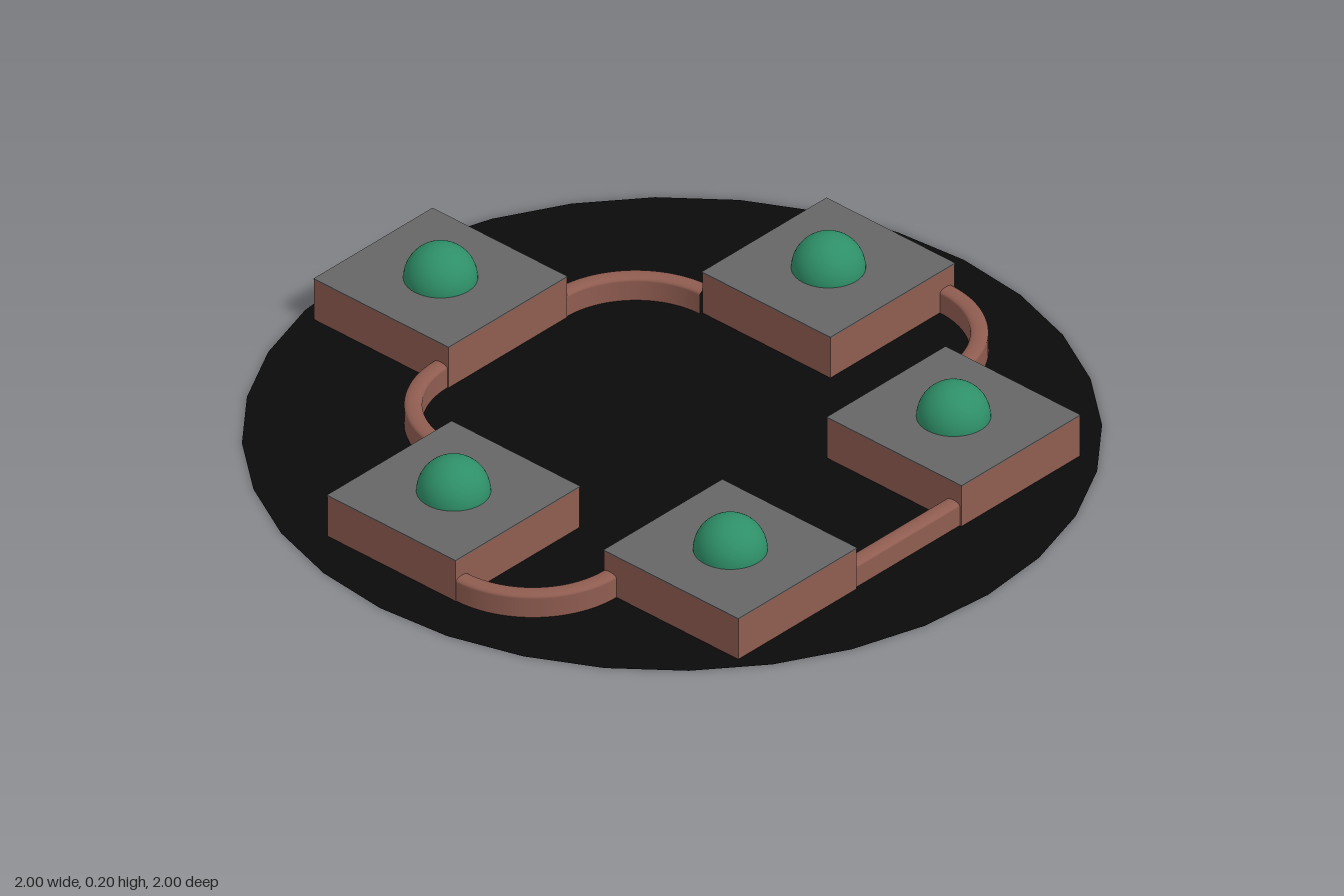
import * as THREE from 'three';

const paint = (color) => new THREE.MeshStandardMaterial({ color });

export function createModel() {
  const model = new THREE.Group();
  const brick = paint(0x8f5c50);
  const slate = paint(0x666666);
  const green = paint(0x2e8f68);
  const black = paint(0x0a0a0a);
  black.side = THREE.DoubleSide;

  const add = (parent, name, geometry, material, x, y, z) => {
    const mesh = new THREE.Mesh(geometry, material);
    mesh.name = name;
    mesh.position.set(x, y, z);
    parent.add(mesh);
    return mesh;
  };

  // Thin round ground sheet
  add(model, 'groundDisc', new THREE.CircleGeometry(1, 32).rotateX(-Math.PI / 2), black, 0, 0, 0);

  // Five square plinths, each with a slate top and a green dome: [x, z, width, depth]
  const base = 0.001, top = 0.115, slab = 0.003;
  const dome = new THREE.SphereGeometry(0.087, 40, 20, 0, Math.PI * 2, 0, Math.PI / 2);
  const plinths = [
    [-0.725, 0.008, 0.425, 0.405],
    [-0.092, -0.635, 0.405, 0.425],
    [0.547, -0.372, 0.425, 0.405],
    [0.547, 0.392, 0.425, 0.405],
    [-0.092, 0.648, 0.405, 0.425],
  ];
  for (const [x, z, w, d] of plinths) {
    const station = new THREE.Group();
    station.name = 'station';
    station.position.set(x, 0, z);
    model.add(station);
    const h = top - slab - base;
    add(station, 'plinth', new THREE.BoxGeometry(w, h, d), brick, 0, base + h / 2, 0);
    add(station, 'slateTop', new THREE.BoxGeometry(w + 0.002, slab, d + 0.002), slate, 0, top - slab / 2, 0);
    add(station, 'dome', dome, green, 0, top, 0);
  }

  // Low wall section: upright sides with a softly rounded top, outer side first
  const half = 0.021, shoulder = 0.054, crown = 0.009;
  const section = [new THREE.Vector2(half, base), new THREE.Vector2(half, shoulder - 0.002)];
  for (let i = 0; i <= 10; i++) {
    const a = (i / 10) * Math.PI;
    section.push(new THREE.Vector2(Math.cos(a) * half, shoulder + Math.sin(a) * crown));
  }
  section.push(new THREE.Vector2(-half, shoulder - 0.002), new THREE.Vector2(-half, base));

  // Quarter-circle walls linking the plinths: [centre x, centre z, radius, start quarter]
  const arcs = [
    [0.11, -0.575, 0.243, 1],
    [-0.295, -0.195, 0.241, 2],
    [-0.295, 0.212, 0.241, 3],
    [0.11, 0.595, 0.243, 0],
  ];
  for (const [x, z, r, quarter] of arcs) {
    const profile = section.map((p) => new THREE.Vector2(p.x + r, p.y));
    const geometry = new THREE.LatheGeometry(profile, 24, quarter * Math.PI / 2, Math.PI / 2);
    add(model, 'curvedWall', geometry, brick, x, 0, z);
  }

  // Straight wall between the two plinths on the left side
  const straight = new THREE.ExtrudeGeometry(new THREE.Shape(section), { depth: 0.37, bevelEnabled: false });
  add(model, 'straightWall', straight, brick, 0.733, 0, -0.175);

  return model;
}
